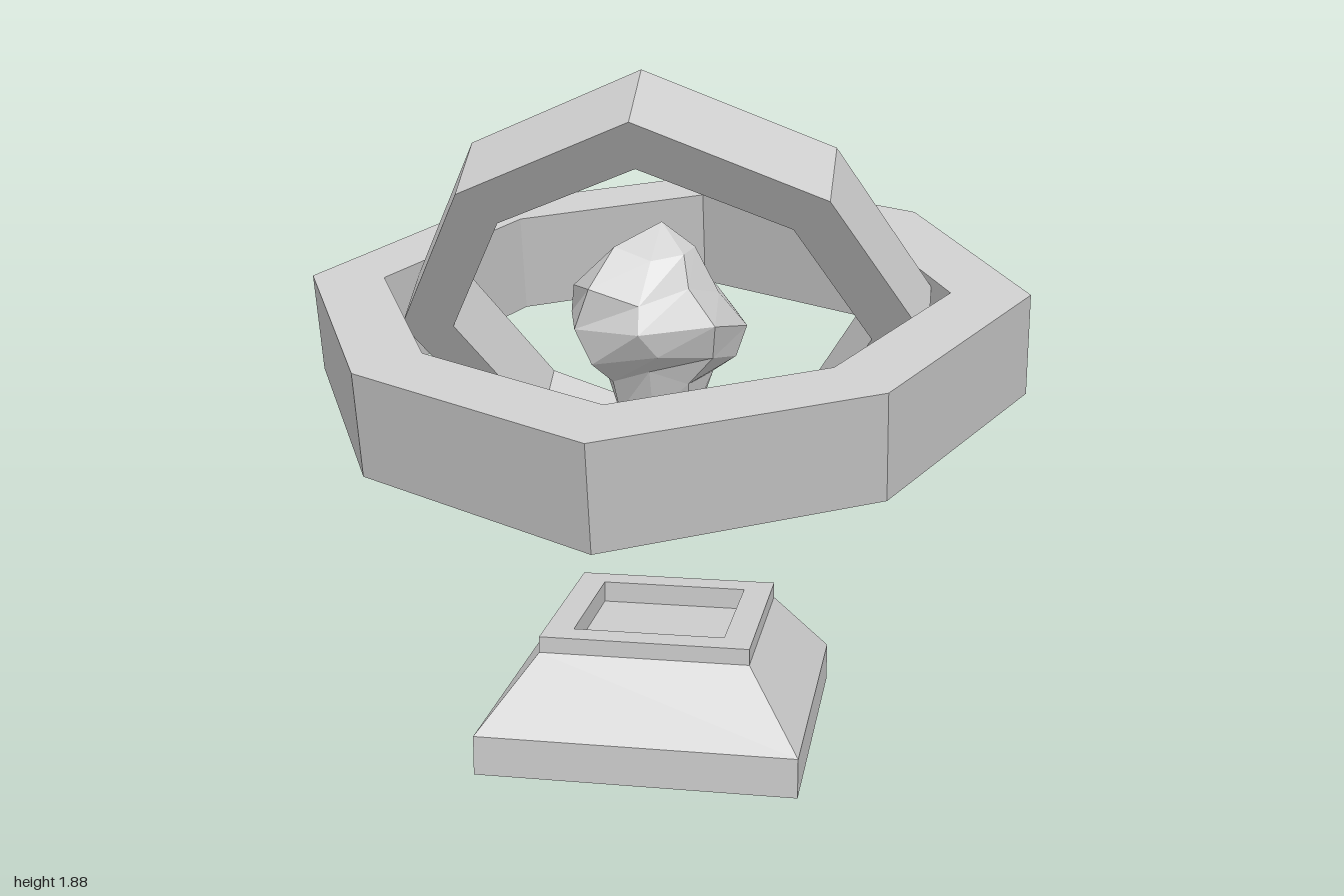
import * as THREE from 'three';

const material = new THREE.MeshStandardMaterial({ color: 0xcccccc, flatShading: true });

function addMesh(parent, name, geometry) {
  const mesh = new THREE.Mesh(geometry, material);
  mesh.name = name;
  parent.add(mesh);
  return mesh;
}

// Eight corners: four on the axes at distance r, four diagonal ones at (d, d)
function octagon(r, d) {
  return Array.from({ length: 8 }, (_, i) => {
    const a = (i * Math.PI) / 4;
    const radius = i % 2 ? d * Math.SQRT2 : r;
    return new THREE.Vector2(radius * Math.cos(a), radius * Math.sin(a));
  });
}

// Flat eight-sided ring lying around the y axis
function ringGeometry(outer, inner, height) {
  const shape = new THREE.Shape(octagon(...outer));
  shape.holes.push(new THREE.Path(octagon(...inner)));
  return new THREE.ExtrudeGeometry(shape, { depth: height, bevelEnabled: false })
    .translate(0, 0, -height / 2)
    .rotateX(-Math.PI / 2);
}

// Faceted rock: one uneven outline, scaled level by level and slightly varied
function rockGeometry() {
  const outline = [0.235, 0.245, 0.235, 0.27, 0.255, 0.245, 0.27, 0.26];
  // [height, scale, x shift, unevenness]
  const levels = [
    [0.84, 0, 0.0, 0], [0.865, 0.25, 0.0, 0.01], [0.94, 0.48, 0.0, 0.02],
    [1.05, 0.62, 0.0, 0.02], [1.11, 0.88, 0.0, 0.02], [1.19, 1, 0.0, 0.015],
    [1.28, 0.83, -0.03, 0.025], [1.38, 0.48, -0.02, 0.02], [1.46, 0, 0.0, 0],
  ];
  const rings = levels.map(([y, s, shift, vary], j) => outline.map((r, k) => {
    const a = (k * Math.PI) / 4 + Math.sin(j * 2.3 + k) * 0.12;
    const bump = 1 + 0.5 * vary * Math.sin(k * 3.7 + j * 5.1);
    return [shift + r * s * bump * Math.cos(a), y + vary * Math.sin(k * 2.4 + j), r * s * bump * Math.sin(a)];
  }));
  const positions = [];
  for (let j = 0; j < rings.length - 1; j++) {
    for (let k = 0; k < 8; k++) {
      const n = (k + 1) % 8;
      const [a, b, c, d] = [rings[j][k], rings[j][n], rings[j + 1][k], rings[j + 1][n]];
      if (j > 0) positions.push(...a, ...c, ...b);
      if (j < rings.length - 2) positions.push(...b, ...c, ...d);
    }
  }
  const geometry = new THREE.BufferGeometry();
  geometry.setAttribute('position', new THREE.Float32BufferAttribute(positions, 3));
  geometry.computeVertexNormals();
  return geometry;
}

export function createModel() {
  const model = new THREE.Group();
  model.name = 'ringedRockPedestal';

  // Square pedestal with a sunken top
  const profile = [
    [0, 0], [0.44, 0], [0.44, 0.11], [0.29, 0.305],
    [0.29, 0.35], [0.21, 0.35], [0.21, 0.29], [0, 0.29],
  ].map(([half, y]) => new THREE.Vector2(half * Math.SQRT2, y));
  addMesh(model, 'pedestal', new THREE.LatheGeometry(profile, 4, Math.PI / 4));

  // Two tilted floating rings
  const outerRing = addMesh(model, 'outerRing', ringGeometry([0.995, 0.66], [0.785, 0.52], 0.286));
  outerRing.position.y = 1.15;
  outerRing.rotation.x = THREE.MathUtils.degToRad(12.2);

  const innerRing = addMesh(model, 'innerRing', ringGeometry([0.725, 0.482], [0.577, 0.386], 0.208));
  innerRing.position.set(0.006, 1.227, 0);
  innerRing.rotation.x = THREE.MathUtils.degToRad(-55);

  // Floating rock in the middle
  addMesh(model, 'rock', rockGeometry());
  return model;
}
